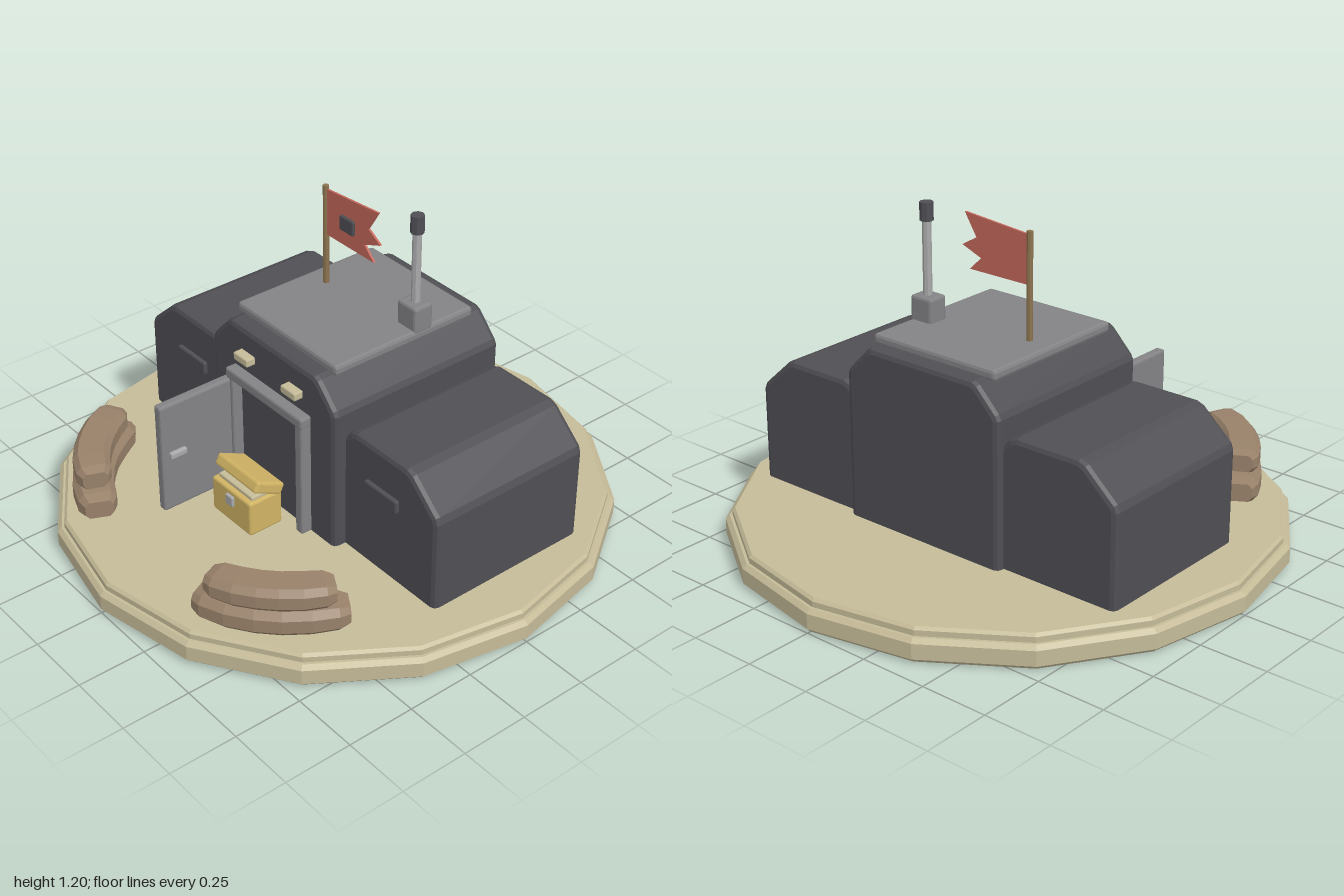
import * as THREE from 'three';
import { RoundedBoxGeometry } from 'three/addons/geometries/RoundedBoxGeometry.js';

const mat = (name, color, extra = {}) => {
  const m = new THREE.MeshStandardMaterial({ color, flatShading: true, ...extra });
  m.name = name;
  return m;
};

export function createModel() {
  const group = new THREE.Group();
  const sand = mat('sand', 0xc5bb98);
  const dark = mat('dark armour', 0x4f4f54);
  const grey = mat('grey metal', 0x838386);
  const light = mat('light metal', 0xa9a9ab);
  const red = mat('red cloth', 0xc5685c, { side: THREE.DoubleSide });
  const wood = mat('wood', 0x8c7450);
  const sack = mat('sackcloth', 0x98816a);
  const gold = mat('chest yellow', 0xd0b364);

  const add = (name, geometry, material, x = 0, y = 0, z = 0, parent = group) => {
    const m = new THREE.Mesh(geometry, material);
    m.name = name;
    m.position.set(x, y, z);
    parent.add(m);
    return m;
  };
  // Box given by its limits, with softened edges
  const block = (name, material, x0, x1, y0, y1, z0, z1, r = 0.008) =>
    add(name, new RoundedBoxGeometry(x1 - x0, y1 - y0, z1 - z0, 1, r), material,
      (x0 + x1) / 2, (y0 + y1) / 2, (z0 + z1) / 2);
  const rod = (name, material, r, y0, y1, x, z, sides = 8) =>
    add(name, new THREE.CylinderGeometry(r, r, y1 - y0, sides), material, x, (y0 + y1) / 2, z);
  const shapeOf = pts => new THREE.Shape(pts.map(p => new THREE.Vector2(...p)));
  // Chamfered hall: front profile pushed from z0 to z1
  const hall = (name, pts, z0, z1) => {
    const b = 0.02;
    const g = new THREE.ExtrudeGeometry(shapeOf(pts), {
      depth: z1 - z0 - 2 * b, bevelEnabled: true, bevelSegments: 2,
      bevelSize: b, bevelThickness: b, bevelOffset: -b,
    });
    return add(name, g, dark, 0, 0, z0 + b);
  };

  // Stepped sixteen-sided ground plate
  const rim = [[0, 0], [0.985, 0], [1, 0.015], [1, 0.07], [0.985, 0.085], [0.975, 0.085],
    [0.975, 0.105], [0.965, 0.115], [0, 0.115]];
  add('groundPlate', new THREE.LatheGeometry(rim.map(p => new THREE.Vector2(...p)), 16), sand);

  // Central hall with roof slab
  hall('centralHall', [[-0.335, 0.09], [0.335, 0.09], [0.335, 0.645], [0.325, 0.665],
    [0.245, 0.747], [0.225, 0.757], [-0.225, 0.757], [-0.245, 0.747], [-0.325, 0.665],
    [-0.335, 0.645]], -0.457, 0.27);
  block('roofSlab', grey, -0.27, 0.265, 0.745, 0.785, -0.395, 0.207, 0.012);

  // Side halls with window slits
  for (const s of [-1, 1]) {
    const pts = [[0.22, 0.09], [0.79, 0.09], [0.79, 0.455], [0.78, 0.48], [0.665, 0.583],
      [0.635, 0.595], [0.385, 0.595], [0.355, 0.583], [0.22, 0.46]].map(([x, y]) => [s * x, y]);
    hall(s < 0 ? 'rightHall' : 'leftHall', s < 0 ? pts.reverse() : pts, -0.427, 0.222);
    block('windowSlit', dark, s * 0.525 - 0.08, s * 0.525 + 0.08, 0.4, 0.45, 0.2, 0.237, 0.006);
    // Door post and lamp
    block('doorPost', grey, s * 0.19 - 0.019, s * 0.19 + 0.019, 0.11, 0.585, 0.26, 0.31);
    block('lamp', sand, s * 0.13 - 0.038, s * 0.13 + 0.038, 0.64, 0.67, 0.262, 0.305, 0.005);
  }
  block('doorLintel', grey, -0.21, 0.21, 0.55, 0.59, 0.26, 0.312);

  // Door swung open
  block('openDoor', grey, -0.221, -0.185, 0.12, 0.552, 0.29, 0.604);
  block('doorHandle', light, -0.19, -0.17, 0.335, 0.36, 0.508, 0.575, 0.005);

  // Antenna
  block('antennaBase', grey, 0.172, 0.265, 0.77, 0.872, -0.212, -0.132, 0.01);
  rod('antennaMast', light, 0.016, 0.86, 1.14, 0.22, -0.172);
  rod('antennaCap', dark, 0.024, 1.135, 1.2, 0.22, -0.172);

  // Flag
  rod('flagPole', wood, 0.011, 0.77, 1.165, -0.178, -0.11);
  const cloth = [[-0.17, 1.153], [-0.17, 0.979], [0.08, 0.979], [0.03, 1.027], [0.112, 1.059],
    [0.05, 1.096], [0.1, 1.176]];
  add('flag', new THREE.ExtrudeGeometry(shapeOf(cloth), { depth: 0.008, bevelEnabled: false }),
    red, 0, 0, -0.114);
  block('flagPatch', dark, -0.088, -0.018, 1.038, 1.094, -0.108, -0.094, 0.005);

  // Chest with raised lid
  block('chestBox', gold, -0.108, 0.108, 0.115, 0.25, 0.318, 0.455);
  block('chestContents', sand, -0.095, 0.095, 0.23, 0.264, 0.33, 0.435, 0.005);
  block('chestLock', light, -0.02, 0.02, 0.192, 0.232, 0.445, 0.466, 0.004);
  add('chestLid', new RoundedBoxGeometry(0.23, 0.045, 0.125, 1, 0.009), gold,
    0, 0.285, 0.373).rotation.x = -0.46;

  // Sandbag: chamfered section swept along a curve, with tapered ends
  const sandbag = (name, s, t0, t1, y, w, h) => {
    const curve = new THREE.CatmullRomCurve3([[0.65, 0.465], [0.55, 0.63], [0.435, 0.735], [0.29, 0.803]]
      .map(([x, z]) => new THREE.Vector3(s * x, y, z)));
    const section = [[1, -0.5], [1, 0.5], [0.7, 1], [-0.7, 1], [-1, 0.5], [-1, -0.5], [-0.7, -1], [0.7, -1]];
    const stations = [[0, 0.68], [0.08, 0.94], [0.25, 1], [0.42, 1], [0.58, 1], [0.75, 1], [0.92, 0.94], [1, 0.68]];
    const up = new THREE.Vector3(0, 1, 0), pos = [], index = [], n = section.length;
    for (const [u, k] of stations) {
      const t = t0 + (t1 - t0) * u;
      const p = curve.getPointAt(t);
      const side = up.clone().cross(curve.getTangentAt(t));
      for (const [a, b] of section) {
        const v = p.clone().addScaledVector(side, a * k * w / 2).addScaledVector(up, b * k * h / 2);
        pos.push(v.x, v.y, v.z);
      }
    }
    const last = (stations.length - 1) * n;
    for (let i = 0; i < last; i += n) {
      for (let j = 0; j < n; j++) {
        const a = i + j, b = i + (j + 1) % n;
        index.push(a, b, a + n, b, b + n, a + n);
      }
    }
    for (let j = 1; j < n - 1; j++) index.push(0, j + 1, j, last, last + j, last + j + 1);
    const g = new THREE.BufferGeometry();
    g.setAttribute('position', new THREE.Float32BufferAttribute(pos, 3));
    g.setIndex(index);
    g.computeVertexNormals();
    add(name, g, sack);
  };
  for (const s of [-1, 1]) {
    sandbag('lowerSandbag', s, 0, 1, 0.163, 0.145, 0.097);
    sandbag('upperSandbag', s, 0.09, 0.91, 0.254, 0.13, 0.09);
  }

  return group;
}
